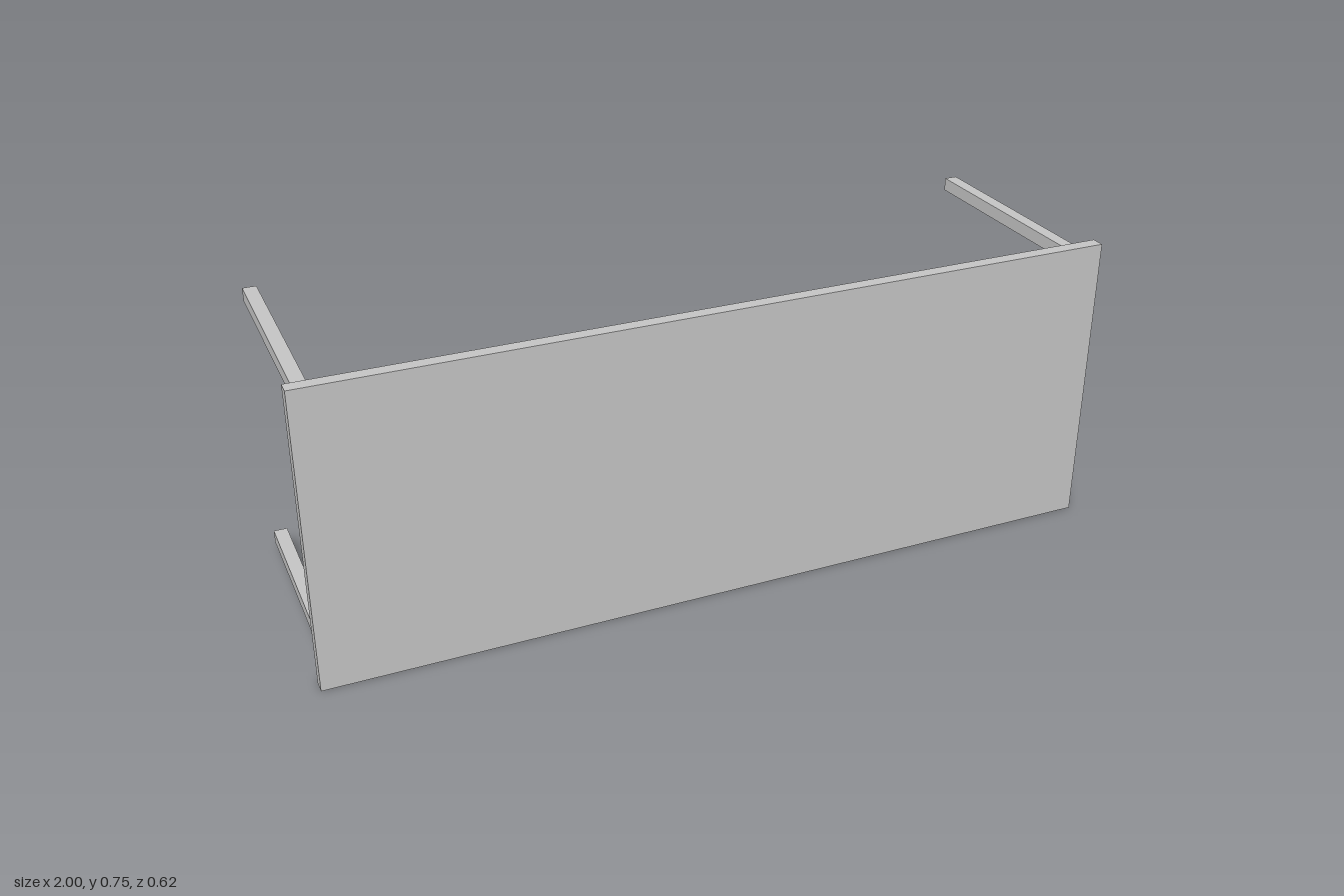
import * as THREE from 'three';

export function createModel() {
  const model = new THREE.Group();
  model.name = 'table';
  const grey = new THREE.MeshStandardMaterial({ color: 0xc3c3c3 });
  grey.name = 'lightGrey';

  const addBox = (name, size, position) => {
    const mesh = new THREE.Mesh(new THREE.BoxGeometry(...size), grey);
    mesh.name = name;
    mesh.position.set(...position);
    model.add(mesh);
  };

  const height = 0.75, depth = 0.625, thickness = 0.0335;
  const legLength = depth - thickness, inset = 0.025 + thickness / 2;

  // Upright table top, facing forward
  addBox('tableTop', [2, height, thickness], [0, height / 2, depth / 2 - thickness / 2]);

  // Four square legs reaching backward, inset from the corners
  for (const [side, sx] of [['Left', 1], ['Right', -1]]) {
    for (const [level, y] of [['lower', inset], ['upper', height - inset]]) {
      addBox(`${level}${side}Leg`, [thickness, thickness, legLength],
        [sx * (1 - inset), y, -thickness / 2]);
    }
  }
  return model;
}
